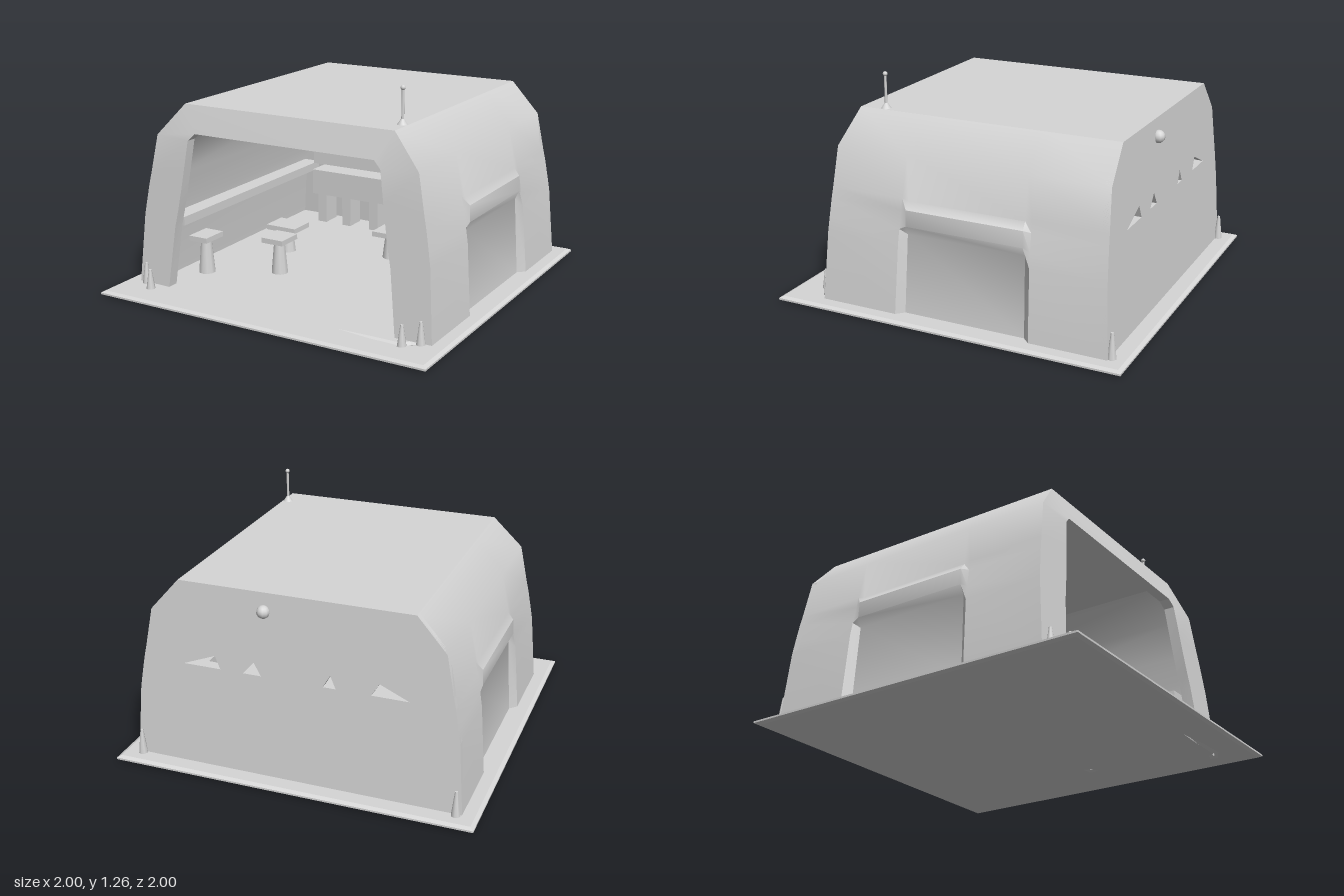
import * as THREE from 'three';
import { toCreasedNormals } from 'three/addons/utils/BufferGeometryUtils.js';

const grey = new THREE.MeshStandardMaterial({ color: 0xd6d6d6, side: THREE.DoubleSide });
grey.name = 'plain grey';

// Half cross-sections (x, y), from the ground up to the roof edge
const WALL = [[0.915, 0.03], [0.885, 0.42], [0.872, 0.5], [0.855, 0.6], [0.842, 0.66], [0.8, 0.88], [0.64, 1.06]];
const RECESS = [[0.875, 0.03], [0.85, 0.47], [0.875, 0.52], [0.872, 0.61], [0.842, 0.65], [0.8, 0.88], [0.64, 1.06]];
const LINER = WALL.map(([x, y]) => [x - 0.08, y > 0.1 ? y * 0.95 : y]);
const OPENING = [[0.71, 0.03], [0.67, 0.38], [0.65, 0.48], [0.63, 0.6], [0.615, 0.7], [0.59, 0.87], [0.55, 0.91]];

const mirror = (half) => [...half, ...half.map(([x, y]) => [-x, y]).reverse()];

// Front and back lean inwards with height
function lean(y, z) {
  const front = 0.76 - 0.07 * y - Math.max(0, y - 0.88) * 0.2;
  const back = -0.9 + 0.05 * y;
  return back + (front - back) * (z + 0.9) / 1.66;
}

function add(parent, name, geometry, x = 0, y = 0, z = 0) {
  const mesh = new THREE.Mesh(geometry, grey);
  mesh.name = name;
  mesh.position.set(x, y, z);
  parent.add(mesh);
}

// Box given by its limits
function slab(parent, name, x0, x1, y0, y1, z0, z1) {
  add(parent, name, new THREE.BoxGeometry(x1 - x0, y1 - y0, z1 - z0),
    (x0 + x1) / 2, (y0 + y1) / 2, (z0 + z1) / 2);
}

// Skin through cross-sections placed one after another along z
function loft(sections) {
  const pos = [], index = [];
  const n = sections[0].points.length;
  for (const { z, points } of sections)
    for (const [x, y] of points) pos.push(x, y, lean(y, z));
  for (let s = 0; s < sections.length - 1; s++)
    for (let i = 0; i < n - 1; i++) {
      const a = s * n + i, b = a + n;
      index.push(a, b, a + 1, b, b + 1, a + 1);
    }
  const g = new THREE.BufferGeometry();
  g.setAttribute('position', new THREE.Float32BufferAttribute(pos, 3));
  g.setIndex(index);
  return toCreasedNormals(g, 0.6);
}

const toShape = (pts) => new THREE.Shape(pts.map(([x, y]) => new THREE.Vector2(x, y)));

// Upright end wall that follows the lean
function endWall(shape, z, depth) {
  const g = new THREE.ExtrudeGeometry(shape, { depth, bevelEnabled: false });
  const p = g.attributes.position;
  for (let i = 0; i < p.count; i++) p.setZ(i, lean(p.getY(i), p.getZ(i) + z));
  g.computeVertexNormals();
  return g;
}

export function createModel() {
  const model = new THREE.Group();
  model.name = 'openShelter';

  // Ground plate with ragged holes near the front left corner and the left wall
  const plate = toShape([[-0.98, -0.98], [0.98, -0.98], [0.98, 0.98], [-0.98, 0.98]]);
  plate.holes.push(
    toShape([[0.4, -0.805], [0.6, -0.83], [0.77, -0.835], [0.86, -0.79], [0.85, -0.75], [0.8, -0.76], [0.77, -0.8], [0.6, -0.8]]),
    toShape([[0.61, -0.05], [0.68, -0.06], [0.67, -0.11], [0.62, -0.1]]));
  const plateGeo = new THREE.ExtrudeGeometry(plate,
    { depth: 0.01, bevelThickness: 0.01, bevelSize: 0.02, bevelSegments: 1 });
  plateGeo.rotateX(-Math.PI / 2);
  add(model, 'groundPlate', plateGeo, 0, 0.01, 0);

  // Sides and roof with a hooded bay in each side
  const outer = mirror(WALL), bay = mirror(RECESS);
  add(model, 'sidesAndRoof', loft([
    { z: 0.76, points: outer }, { z: 0.31, points: outer }, { z: 0.27, points: bay },
    { z: -0.43, points: bay }, { z: -0.47, points: outer }, { z: -0.9, points: outer },
  ]));

  // Front frame around the wide opening, running on into the lining
  const inner = mirror(LINER), opening = mirror(OPENING);
  add(model, 'frontFrameAndLining', loft([
    { z: 0.76, points: outer }, { z: 0.765, points: opening }, { z: 0.7, points: opening },
    { z: 0.7, points: inner }, { z: -0.86, points: inner },
  ]));

  // Back wall with a row of small broken windows
  const back = toShape(outer);
  for (const [a, b, c] of [[-0.62, -0.42, -0.46], [-0.23, -0.16, -0.2], [0.18, 0.28, 0.22], [0.41, 0.62, 0.44]])
    back.holes.push(toShape([[a, 0.6], [b, 0.6], [c, 0.67]]));
  add(model, 'backWall', endWall(back, -0.9, 0.04));
  add(model, 'backKnob', new THREE.SphereGeometry(0.035, 10, 8), 0.16, 0.96, -0.86);

  // Ledges and cabinets inside
  slab(model, 'backLedge', -0.7, 0.7, 0.4, 0.575, -0.85, -0.76);
  slab(model, 'wallRail', -0.42, 0.17, 0.725, 0.745, -0.85, -0.8);
  slab(model, 'cabinet', -0.66, 0.2, 0.22, 0.38, -0.85, -0.68);
  slab(model, 'cabinet', 0.26, 0.68, 0.22, 0.38, -0.85, -0.66);
  for (const x of [-0.6, -0.42, -0.22, 0.05, 0.3, 0.48, 0.62])
    slab(model, 'cabinetLeg', x - 0.03, x + 0.03, 0.03, 0.23, -0.83, -0.7);
  for (const s of [-1, 1])
    slab(model, 'sideLedge', s * 0.76 - 0.06, s * 0.76 + 0.06, 0.35, 0.4, -0.82, 0.62);

  // Small tables on the floor
  for (const [x, y, z, w] of [[-0.31, 0.25, 0.25, 0.14], [0.12, 0.2, -0.3, 0.17], [-0.48, 0.2, -0.1, 0.2],
    [0.45, 0.22, -0.25, 0.26], [-0.68, 0.26, 0.45, 0.12]]) {
    const table = new THREE.Group();
    table.name = 'smallTable';
    slab(table, 'tableTop', -w / 2, w / 2, y - 0.03, y, -0.08, 0.08);
    add(table, 'tableFoot', new THREE.CylinderGeometry(0.03, 0.05, y - 0.04, 10), 0, y / 2, 0);
    table.position.set(x, 0, z);
    model.add(table);
  }

  // Stubs around the foot of the walls
  for (const s of [-1, 1])
    for (const [x, z, h] of [[0.785, 0.83, 0.11], [0.86, 0.77, 0.12], [0.885, -0.91, 0.14]])
      add(model, 'cornerStub', new THREE.CylinderGeometry(0.008, 0.025, h, 8), s * x, 0.03 + h / 2, z);

  // Aerial on the roof
  add(model, 'aerialFoot', new THREE.CylinderGeometry(0.008, 0.028, 0.03, 10), 0.61, 1.075, 0.51);
  add(model, 'aerialRod', new THREE.CylinderGeometry(0.007, 0.008, 0.18, 8), 0.61, 1.15, 0.51);
  add(model, 'aerialTip', new THREE.SphereGeometry(0.013, 10, 8), 0.61, 1.247, 0.51);
  return model;
}
